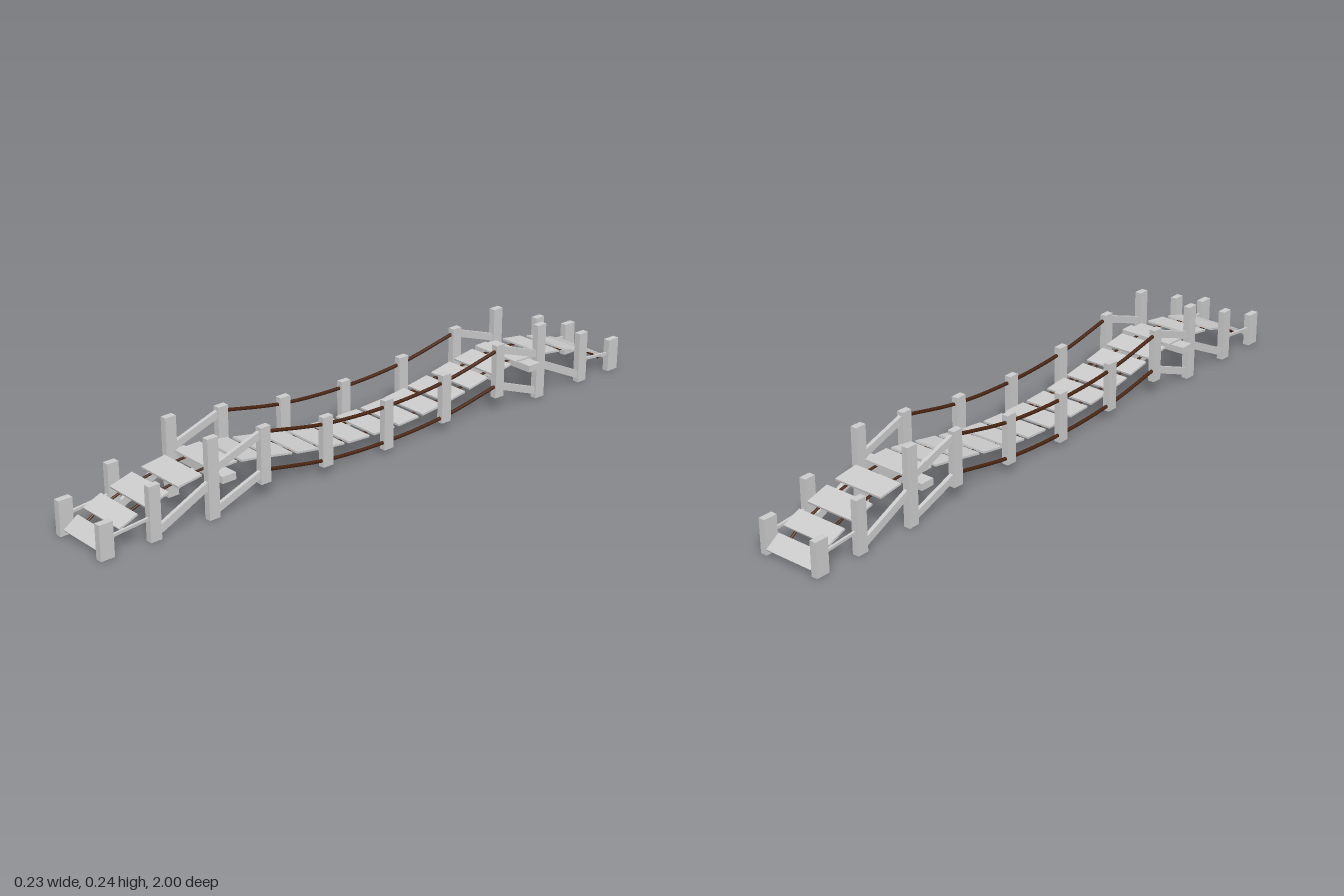
import * as THREE from 'three';

const wood = new THREE.MeshStandardMaterial({ color: 0xcccccc, flatShading: true });
const ropeMat = new THREE.MeshStandardMaterial({ color: 0x4a2410 });
const Z0 = -0.005; // middle of the span

// Planks of one half: z from the middle, height, slope, depth
const PLANKS = [
  [0, 0.066, 0, 0.08], [0.097, 0.068, -0.05, 0.08], [0.193, 0.076, -0.11, 0.08],
  [0.288, 0.09, -0.16, 0.08], [0.385, 0.108, -0.19, 0.08], [0.483, 0.126, -0.15, 0.08],
  [0.582, 0.135, 0.02, 0.084], [0.698, 0.126, 0.14, 0.08], [0.805, 0.105, 0.27, 0.077],
  [0.9, 0.073, 0.42, 0.064], [0.97, 0.031, 0.68, 0.056],
];

// Posts of one half: z from the middle, bottom, top, depth
const POSTS = [
  [0, 0.015, 0.17, 0.034], [0.231, 0.032, 0.185, 0.036], [0.455, 0.05, 0.22, 0.034],
  [0.634, 0, 0.24, 0.036], [0.828, 0, 0.163, 0.036], [0.978, 0, 0.105, 0.044],
];

function box(name, w, h, d, x, y, z) {
  const m = new THREE.Mesh(new THREE.BoxGeometry(w, h, d), wood);
  m.name = name;
  m.position.set(x, y, z);
  return m;
}

// Bar between two (z, y) points in a side plane
function bar(name, x, z1, y1, z2, y2, w, h) {
  const m = box(name, w, h, Math.hypot(z2 - z1, y2 - y1), x, (y1 + y2) / 2, (z1 + z2) / 2);
  m.rotation.x = -Math.atan2(y2 - y1, z2 - z1);
  return m;
}

function rope(name, x, points, radius) {
  const curve = new THREE.CatmullRomCurve3(points.map(([z, y]) => new THREE.Vector3(x, y, z)));
  const m = new THREE.Mesh(new THREE.TubeGeometry(curve, 64, radius, 8), ropeMat);
  m.name = name;
  return m;
}

// Mirror a half list of [z, y] into one full run
const fullRun = (half) => [...half.slice(1).reverse().map(([z, y]) => [-z, y]), ...half];

export function createModel() {
  const model = new THREE.Group();
  const span = new THREE.Group();
  span.name = 'bridge';
  span.position.z = Z0;
  model.add(span);

  for (const s of [1, -1]) {
    // Deck planks
    PLANKS.forEach(([z, y, slope, d], i) => {
      if (i === 0 && s < 0) return;
      const p = box('plank', 0.168, 0.006, d, 0, y, s * z);
      p.rotation.x = s * Math.atan(slope);
      span.add(p);
    });
    // Crossbeam at the tower
    span.add(box('crossbeam', 0.235, 0.021, 0.046, 0, 0.114, s * 0.592));

    for (const side of [1, -1]) {
      const x = side * 0.094;
      POSTS.forEach(([z, y0, y1, d], i) => {
        if (i === 0 && s < 0) return;
        // End posts stay square to the overall length
        const pz = i === 5 ? s * z - Z0 : s * z;
        span.add(box('post', 0.021, y1 - y0, d, x, (y0 + y1) / 2, pz));
      });
      // Slanting braces and the thin end rail
      span.add(bar('upperBrace', x, s * 0.634, 0.142, s * 0.455, 0.203, 0.012, 0.022));
      span.add(bar('lowerBrace', x, s * 0.634, 0.018, s * 0.455, 0.085, 0.012, 0.022));
      span.add(bar('rampBrace', x, s * 0.828, 0.018, s * 0.634, 0.11, 0.012, 0.024));
      span.add(bar('endRail', x, s * 0.978, 0.056, s * 0.828, 0.07, 0.008, 0.008));
    }
  }

  // Hanging side ropes and the ropes carrying the planks
  const top = [[0, 0.148], [0.231, 0.161], [0.455, 0.203]];
  const bottom = [[0, 0.037], [0.231, 0.049], [0.455, 0.088]];
  const deck = PLANKS.map(([z, y]) => [z, y - 0.006]);
  for (const side of [1, -1]) {
    span.add(rope('handRope', side * 0.096, fullRun(top), 0.0055));
    span.add(rope('lowerRope', side * 0.096, fullRun(bottom), 0.0055));
    span.add(rope('deckRope', side * 0.045, fullRun(deck), 0.0038));
  }
  return model;
}
